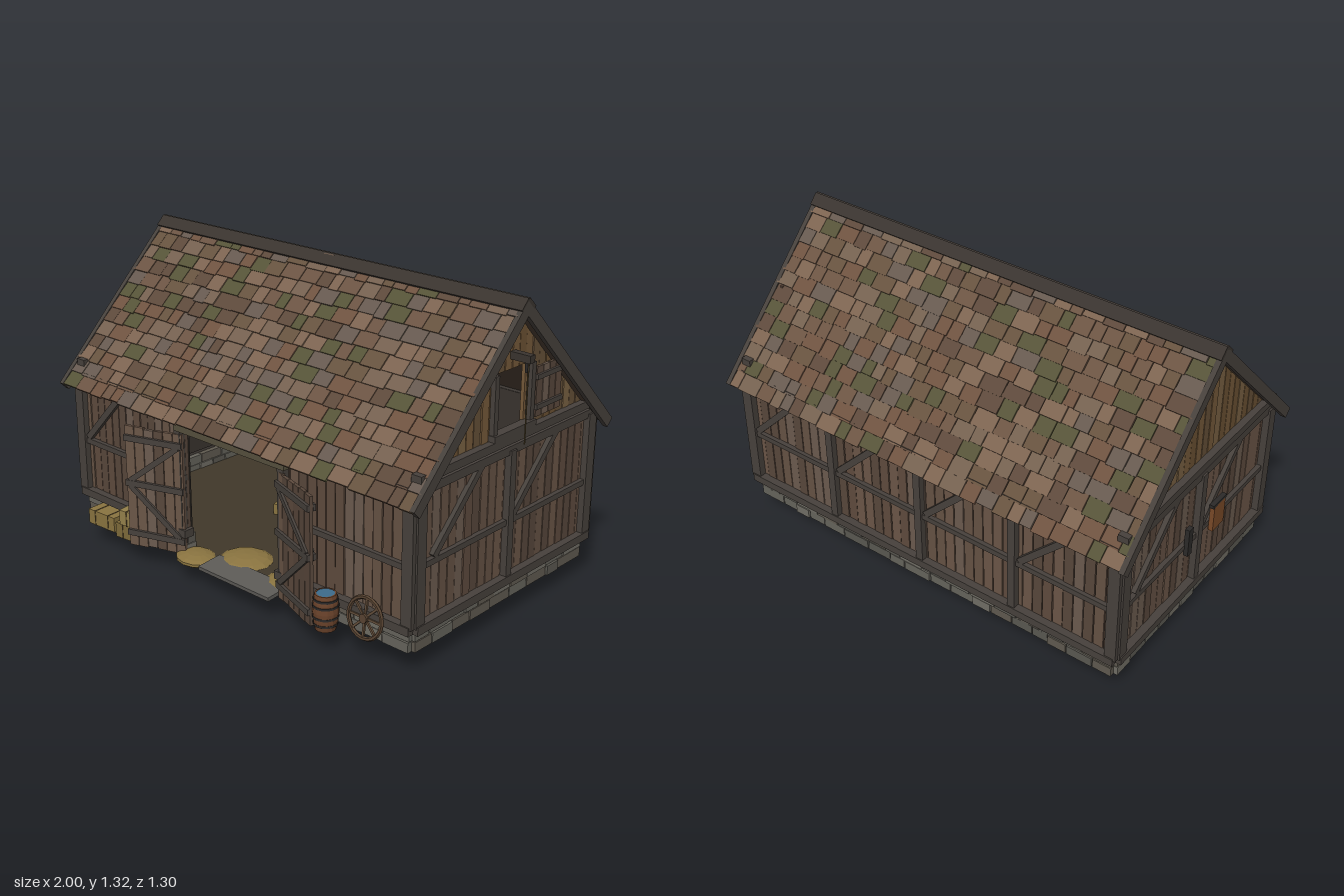
import * as THREE from 'three';
import { mergeGeometries } from 'three/addons/utils/BufferGeometryUtils.js';

// seeded variation
let seed = 7;
const rnd = () => (seed = (seed * 16807) % 2147483647) / 2147483647;
const pick = (list) => list[Math.floor(rnd() * list.length)];

const materials = {};
const mat = (color) => (materials[color] ??= new THREE.MeshStandardMaterial({ color, flatShading: true }));

const TIMBER = 0x47413c, DARK = 0x3a342f, HAY = 0x8a7440, IRON = 0x2c2a29;
const PLANKS = [0x665244, 0x5f4b3e, 0x6b5647, 0x58473b, 0x6c5b4f];
const GABLE = [0x765a3a, 0x6c5233, 0x7a6243, 0x665038];
const SHINGLES = [0x6b5443, 0x74604f, 0x5d493b, 0x7c6350, 0x66523f, 0x66594f, 0x6e5240, 0x565338];
const STONES = [0x66645c, 0x5a5851, 0x716e65, 0x605a50];
const XC = -0.014, ZC = -0.026; // centre of the building

// collects geometry by colour and makes one named group of it
class Part {
  constructor(name) { this.name = name; this.bins = new Map(); }
  add(geo, color) {
    if (!this.bins.has(color)) this.bins.set(color, []);
    this.bins.get(color).push(geo.index ? geo.toNonIndexed() : geo);
  }
  box(color, w, h, d, x, y, z, rx = 0, ry = 0, rz = 0) {
    const g = new THREE.BoxGeometry(w, h, d);
    g.applyMatrix4(new THREE.Matrix4().makeRotationFromEuler(new THREE.Euler(rx, ry, rz)));
    this.add(g.translate(x, y, z), color);
  }
  bar(color, x0, y0, x1, y1, z, w = 0.028, d = 0.025) { // slanted timber
    this.box(color, Math.hypot(x1 - x0, y1 - y0), w, d, (x0 + x1) / 2, (y0 + y1) / 2, z, 0, 0, Math.atan2(y1 - y0, x1 - x0));
  }
  build(parent) {
    const group = new THREE.Group();
    group.name = this.name;
    for (const [color, geos] of this.bins) {
      const mesh = new THREE.Mesh(mergeGeometries(geos), mat(color));
      mesh.name = this.name;
      group.add(mesh);
    }
    parent.add(group);
    return group;
  }
}

// timber-framed wall facing local +z, with an optional door gap [a, b]
function wall(p, half, face, posts, braces, gap) {
  const spans = gap ? [[-half, gap[0]], [gap[1], half]] : [[-half, half]];
  for (const [a, b] of spans) {
    const n = Math.round((b - a) / 0.047), w = (b - a) / n;
    for (let i = 0; i < n; i++) p.box(pick(PLANKS), w - 0.004, 0.54, 0.016, a + (i + 0.5) * w, 0.465, face - 0.01 + rnd() * 0.004);
    p.box(DARK, b - a, 0.54, 0.006, (a + b) / 2, 0.465, face - 0.02);
    p.box(TIMBER, b - a + 0.03, 0.035, 0.05, (a + b) / 2, 0.197, face + 0.008);
    p.box(TIMBER, b - a, 0.024, 0.025, (a + b) / 2, 0.44, face + 0.006);
    // stone footing in two courses
    for (let row = 0; row < 2; row++) {
      for (let x = a; x < b - 0.01;) {
        let sw = 0.075 + rnd() * 0.06;
        if (x + sw > b - 0.05) sw = b - x;
        p.box(pick(STONES), sw - 0.005, 0.041, 0.05, x + sw / 2, 0.117 + row * 0.044, face - 0.022 + rnd() * 0.008);
        x += sw;
      }
    }
  }
  p.box(TIMBER, 2 * half + 0.04, 0.035, 0.04, 0, 0.735, face);
  for (const u of posts) p.box(TIMBER, Math.abs(u) > half - 0.05 ? 0.05 : 0.034, 0.53, 0.04, u, 0.47, face + 0.008);
  for (const [u0, u1] of braces) p.bar(TIMBER, u0, 0.455, u1, 0.725, face + 0.006);
}

// gable boards with tops cut to the roof slope
function gable(p, face, opening) {
  const n = 22, w = 0.96 / n;
  for (let i = 0; i < n; i++) {
    const a = -0.48 + i * w + 0.002, b = a + w - 0.004;
    const y0 = opening && Math.abs((a + b) / 2) < 0.1 ? 1.05 : 0.78;
    const top = (u) => Math.max(y0 + 0.005, 1.278 - Math.abs(u));
    const s = new THREE.Shape([[a, y0], [b, y0], [b, top(b)], [a, top(a)]].map((q) => new THREE.Vector2(...q)));
    const g = new THREE.ExtrudeGeometry(s, { depth: 0.016, bevelEnabled: false });
    p.add(g.translate(0, 0, face - 0.02 + rnd() * 0.004), pick(GABLE));
  }
  p.box(TIMBER, 1.1, 0.033, 0.045, 0, 0.782, face + 0.005);
}

function bale(p, x, y, z, ry = 0, w = 0.16, h = 0.066, d = 0.085) {
  p.box(pick([HAY, 0x94804a, 0x7e6a3a]), w, h, d, x, y + h / 2, z, 0, ry);
  for (const s of [-1, 1]) { // twine
    const o = s * w * 0.25;
    p.box(0x5c4c2c, 0.005, h + 0.004, d + 0.004, x + o * Math.cos(ry), y + h / 2, z - o * Math.sin(ry), 0, ry);
  }
}

export function createModel() {
  const barn = new THREE.Group();
  barn.name = 'barn';
  const place = (part, ry) => {
    const g = part.build(barn);
    g.position.set(XC, 0, ZC);
    g.rotation.y = ry;
    return g;
  };

  // front wall with doorway
  const front = new Part('frontWall');
  wall(front, 0.92, 0.55, [-0.92, -0.29, 0.295, 0.92], [[-0.885, -0.63]], [-0.27, 0.275]);
  front.box(0x56503d, 0.62, 0.04, 0.06, 0.01, 0.67, 0.555);
  place(front, 0);

  // back wall in four bays
  const bays = [-0.92, -0.46, 0, 0.46];
  const back = new Part('backWall');
  wall(back, 0.92, 0.55, [...bays, 0.92], bays.map((u) => [u + 0.03, u + 0.3]));
  place(back, Math.PI);

  // end walls and gables
  for (const s of [1, -1]) {
    const end = new Part(s > 0 ? 'leftEndWall' : 'rightEndWall');
    wall(end, 0.54, 0.925, [-0.535, 0, 0.535], [[-0.45, -0.18], [0.025, 0.295]]);
    gable(end, 0.925, s > 0);
    if (s > 0) {
      // loft opening, open shutter, hoist
      for (const u of [-0.114, 0.114]) end.box(TIMBER, 0.024, 0.235, 0.03, u, 0.935, 0.93);
      end.box(TIMBER, 0.26, 0.024, 0.04, 0, 0.812, 0.935);
      for (let i = 0; i < 4; i++) end.box(pick(PLANKS), 0.038, 0.2, 0.012, 0.152 + i * 0.042, 0.928, 0.94);
      for (const y of [0.87, 0.99]) end.box(TIMBER, 0.17, 0.02, 0.012, 0.212, y, 0.95);
      end.box(DARK, 0.03, 0.03, 0.2, 0, 1.105, 0.912);
      end.box(IRON, 0.012, 0.05, 0.012, 0, 1.075, 0.99);
      end.box(0x5c4c2c, 0.004, 0.32, 0.004, 0, 0.93, 0.995);
    } else {
      // tack hung on the wall
      end.box(0x7a4a28, 0.085, 0.12, 0.02, 0.12, 0.465, 0.955);
      end.box(IRON, 0.1, 0.015, 0.02, 0.12, 0.53, 0.955);
      end.box(IRON, 0.03, 0.13, 0.02, -0.09, 0.465, 0.95);
    }
    place(end, s * Math.PI / 2);
  }

  // floor
  const floor = new Part('floor');
  floor.box(0x40382a, 1.8, 0.015, 1.04, XC, 0.104, ZC);
  floor.box(0x5d5b57, 0.4, 0.016, 0.12, 0.055, 0.11, 0.54, 0.08);
  floor.build(barn);

  // two roof slopes: local z runs down the slope, local y points out
  for (const s of [1, -1]) {
    const roof = new Part(s > 0 ? 'frontRoof' : 'backRoof');
    roof.box(0x4a3d33, 1.95, 0.016, 0.86, 0, -0.022, 0.43);
    const step = 0.0668;
    for (let r = 0; r < 13; r++) {
      for (let x = -0.975; x < 0.97;) {
        let w = 0.05 + rnd() * 0.06;
        if (x + w > 0.94) w = 0.975 - x;
        roof.box(pick(SHINGLES), w - 0.003, 0.011, 0.084, x + w / 2, -0.006 + rnd() * 0.003, (r + 0.45) * step + rnd() * 0.009, -0.07);
        x += w;
      }
    }
    for (const e of [-1, 1]) roof.box(TIMBER, 0.022, 0.045, 0.88, e * 0.974, -0.018, 0.44);
    roof.box(DARK, 1.97, 0.014, 0.055, 0, 0.005, 0.022);
    const g = roof.build(barn);
    g.rotation.order = 'YXZ';
    g.rotation.set(Math.PI / 4, s > 0 ? 0 : Math.PI, 0);
    g.position.set(XC, 1.318, ZC);
  }

  // open door leaves
  for (const s of [-1, 1]) {
    const door = new Part('doorLeaf');
    for (let i = 0; i < 6; i++) door.box(pick(PLANKS), 0.042, 0.525 + rnd() * 0.015, 0.014, s * (0.0225 + i * 0.045), 0.367, 0);
    for (const z of [-0.013, 0.013]) {
      for (const y of [0.16, 0.385, 0.585]) door.box(TIMBER, 0.27, 0.026, 0.012, s * 0.135, y, z);
      door.bar(TIMBER, s * 0.02, 0.575, s * 0.25, 0.395, z, 0.024, 0.01);
      door.bar(TIMBER, s * 0.02, 0.17, s * 0.25, 0.375, z, 0.024, 0.01);
    }
    const g = door.build(barn);
    g.position.set(s < 0 ? -0.28 : 0.26, 0, 0.54);
    g.rotation.y = -s * 0.33;
  }

  // hay bales outside and inside
  const bales = new Part('hayBales');
  bale(bales, -0.75, 0.098, 0.57, 0.05);
  bale(bales, -0.56, 0.098, 0.575, 0.1);
  bale(bales, -0.535, 0.165, 0.575, 0.16, 0.15);
  bale(bales, -0.23, 0.094, -0.03, 0.3, 0.13);
  bale(bales, -0.18, 0.165, -0.03, 0.1);
  for (const x of [-0.43, 0.45]) for (let i = 0; i < 3; i++) bale(bales, x + 0.02 * i, 0.094 + i * 0.067, -0.41, 0.1 * i, 0.2, 0.066, 0.1);
  bales.build(barn);

  // loose hay heaps
  const heaps = new Part('hayHeaps');
  for (const [x, y, z, rx, ry, rz] of [[0.08, 0.09, -0.125, 0.22, 0.084, 0.155], [0.22, 0.105, 0.44, 0.11, 0.03, 0.1],
    [-0.05, 0.105, 0.42, 0.12, 0.032, 0.11], [-0.23, 0.1, 0.53, 0.1, 0.026, 0.08]]) {
    heaps.add(new THREE.SphereGeometry(1, 12, 7).scale(rx, ry, rz).translate(x, y, z), HAY);
  }
  heaps.build(barn);

  // water barrel
  const barrel = new Part('barrel');
  const prof = [[0, 0], [0.041, 0], [0.048, 0.035], [0.051, 0.075], [0.048, 0.115], [0.042, 0.148], [0.036, 0.148], [0.036, 0.135]];
  barrel.add(new THREE.LatheGeometry(prof.map((q) => new THREE.Vector2(...q)), 14), 0x6b432b);
  for (const y of [0.025, 0.055, 0.1, 0.127]) {
    barrel.add(new THREE.CylinderGeometry(0.0505, 0.0505, 0.009, 14).scale(y < 0.04 || y > 0.11 ? 0.96 : 1.02, 1, y < 0.04 || y > 0.11 ? 0.96 : 1.02).translate(0, y, 0), IRON);
  }
  barrel.add(new THREE.CylinderGeometry(0.037, 0.037, 0.004, 14).translate(0, 0.144, 0), 0x3d6c8c);
  barrel.build(barn).position.set(0.555, 0.096, 0.595);

  // cart wheel leaning on the wall
  const wheel = new Part('cartWheel');
  wheel.add(new THREE.TorusGeometry(0.08, 0.009, 6, 20), 0x54402f);
  wheel.add(new THREE.CylinderGeometry(0.018, 0.018, 0.03, 10).rotateX(Math.PI / 2), 0x54402f);
  for (let i = 0; i < 4; i++) wheel.box(0x5e4936, 0.16, 0.009, 0.009, 0, 0, 0, 0, 0, i * Math.PI / 4);
  const w = wheel.build(barn);
  w.position.set(0.72, 0.185, 0.56);
  w.rotation.x = -0.15;

  return barn;
}
